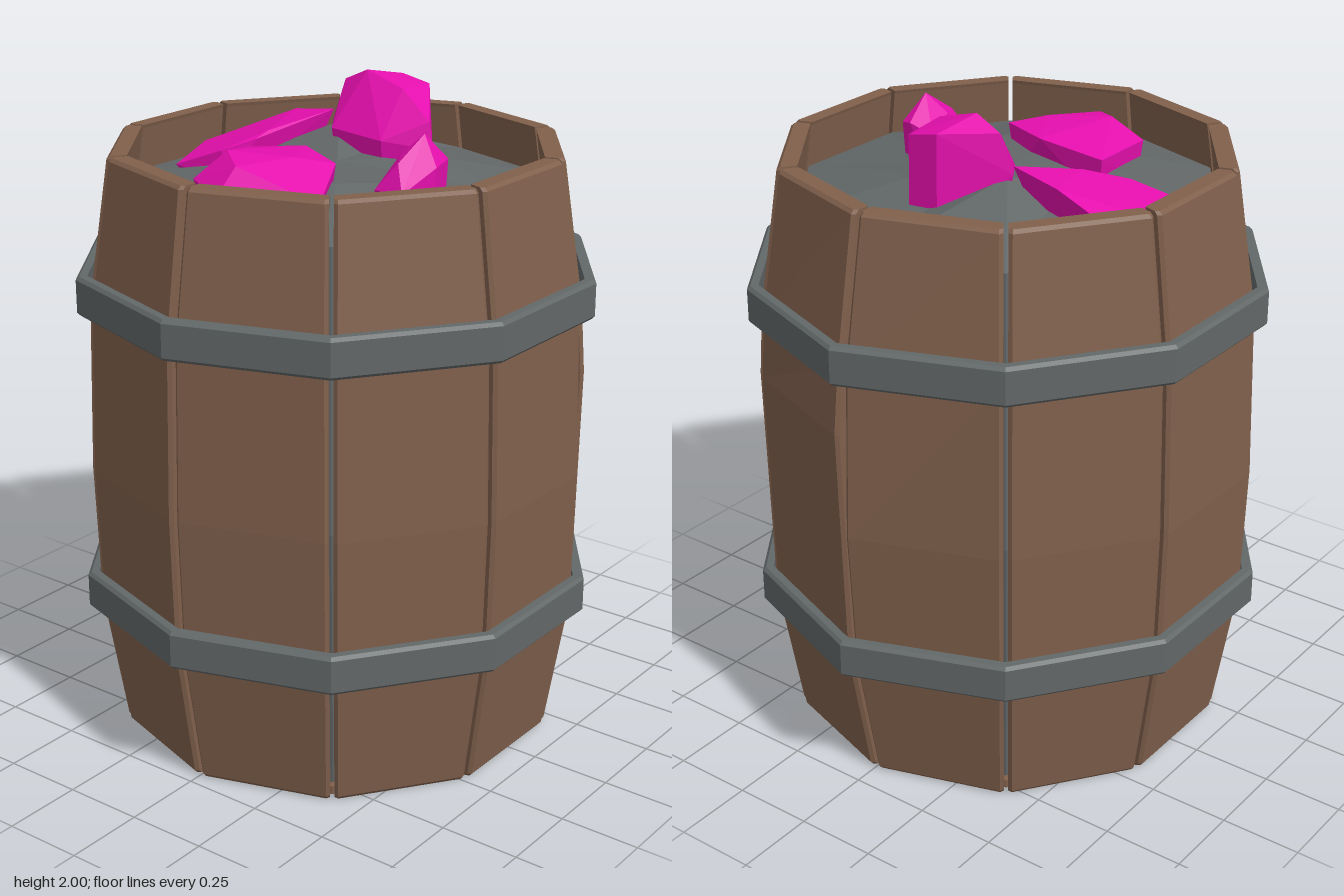
import * as THREE from 'three';
import { ConvexGeometry } from 'three/addons/geometries/ConvexGeometry.js';

const SIDES = 10;
const wood = new THREE.MeshStandardMaterial({ color: 0x80604c });
wood.name = 'brown wood';
const grey = new THREE.MeshStandardMaterial({ color: 0x626767 });
grey.name = 'dark grey';
const pink = new THREE.MeshStandardMaterial({ color: 0xe60fae });
pink.name = 'magenta crystal';

// Corner i of the ten-sided barrel outline; the rear corner may bulge further out
function corner(i, r, y, rear = 0) {
  const a = (i * Math.PI * 2) / SIDES;
  const R = r + (i % SIDES === 5 ? rear : 0);
  return new THREE.Vector3(R * Math.sin(a), y, R * Math.cos(a) + 0.02);
}

// Join equal-length loops of points into a flat-shaded surface
function loft(sections, { ring = false, caps = true } = {}) {
  const pos = [];
  const tri = (...pts) => pts.forEach((p) => pos.push(p.x, p.y, p.z));
  const n = sections[0].length;
  const spans = ring ? sections.length : sections.length - 1;
  for (let s = 0; s < spans; s++) {
    const a = sections[s], b = sections[(s + 1) % sections.length];
    for (let j = 0; j < n; j++) {
      const k = (j + 1) % n;
      tri(a[j], a[k], b[k]);
      tri(a[j], b[k], b[j]);
    }
  }
  if (caps && !ring) {
    const lo = sections[0], hi = sections[sections.length - 1];
    for (let j = 1; j < n - 1; j++) {
      tri(lo[0], lo[j + 1], lo[j]);
      tri(hi[0], hi[j], hi[j + 1]);
    }
  }
  const g = new THREE.BufferGeometry();
  g.setAttribute('position', new THREE.Float32BufferAttribute(pos, 3));
  g.computeVertexNormals();
  return g;
}

function mesh(name, geometry, material) {
  const m = new THREE.Mesh(geometry, material);
  m.name = name;
  return m;
}

// Plank outline at one height: thick strip with chamfered outer edges
function staveSection(k, r, y, rear, inset = 0) {
  const gap = 0.007, chamfer = 0.012, thick = 0.06;
  const ends = (radius, trim) => {
    const a = corner(k, radius, y, rear), b = corner(k + 1, radius, y, rear);
    const t = b.clone().sub(a).normalize().multiplyScalar(trim);
    return [a.add(t), b.sub(t)];
  };
  const [oa, ob] = ends(r - inset, gap + chamfer);
  const [sa, sb] = ends(r - inset - chamfer, gap);
  const [ia, ib] = ends(r - thick, gap);
  return [oa, ob, sb, ib, ia, sa];
}

function stave(k) {
  const high = k === 3 || k === 4; // two rear planks swell higher up
  const levels = [
    [0, 0.692, 0, 0.008],
    [0.012, 0.695, 0],
    [0.43, 0.762, 0.015],
    [high ? 1.19 : 0.87, 0.775, 0.025],
    [1.4, 0.76, 0.015],
    [1.82, 0.695, 0],
    [1.83, 0.692, 0, 0.008],
  ];
  return loft(levels.map(([y, r, rear, inset]) => staveSection(k, r, y, rear, inset)));
}

// Metal hoop with bevelled rims
function hoop(y0, y1, r) {
  const b = 0.01, inner = r - 0.035;
  const profile = [
    [r - b, y1], [r, y1 - b], [r, y0 + b], [r - b, y0], [inner, y0], [inner, y1],
  ];
  const sections = [];
  for (let i = 0; i < SIDES; i++) {
    sections.push(profile.map(([pr, y]) => corner(i, pr, y, 0.025)));
  }
  return loft(sections, { ring: true });
}

// Full outline ring; y may be a list of heights
function outline(r, y) {
  return Array.from({ length: SIDES }, (_, i) => corner(i, r, Array.isArray(y) ? y[i] : y));
}

// Upper points of each crystal, with its footprint sunk into the fill
const crystals = {
  rearCrystal: [
    [-0.18, 1.84, -0.2], [-0.15, 1.96, -0.22], [-0.06, 2.0, -0.21], [0.08, 1.96, -0.2],
    [0.2, 1.88, -0.17], [0.22, 1.8, -0.16], [0.08, 1.82, -0.09], [-0.12, 1.83, -0.11],
    [-0.03, 1.97, -0.355], [0.07, 1.95, -0.355],
    [-0.03, 1.68, -0.36], [0.07, 1.68, -0.36], [-0.15, 1.68, -0.2], [0.18, 1.68, -0.16],
    [0.08, 1.68, -0.1], [-0.1, 1.68, -0.12],
  ],
  frontCrystal: [
    [-0.25, 1.8, 0.14], [-0.04, 1.83, 0.12], [0.14, 1.82, 0.21], [0.05, 1.84, 0.29],
    [-0.13, 1.85, 0.37], [-0.04, 1.83, 0.44], [0.22, 1.75, 0.39], [-0.05, 1.75, 0.52],
    [-0.2, 1.77, 0.44],
    [-0.23, 1.66, 0.16], [0.12, 1.66, 0.22], [0.18, 1.66, 0.38], [-0.05, 1.66, 0.49],
    [-0.2, 1.66, 0.41],
  ],
  rightCrystal: [
    [-0.57, 1.74, -0.04], [-0.46, 1.79, -0.22], [-0.35, 1.84, -0.225], [-0.18, 1.865, -0.2],
    [-0.28, 1.82, 0.0], [-0.29, 1.8, 0.05], [-0.36, 1.77, 0.13], [-0.49, 1.72, 0.19],
    [-0.52, 1.66, -0.03], [-0.44, 1.66, -0.18], [-0.25, 1.68, -0.16], [-0.34, 1.66, 0.1],
    [-0.47, 1.66, 0.15],
  ],
  leftCrystal: [
    [0.27, 1.81, 0.0], [0.34, 1.84, -0.02], [0.385, 1.83, 0.0], [0.35, 1.91, 0.07],
    [0.29, 1.85, 0.1], [0.33, 1.84, 0.17], [0.4, 1.82, 0.08], [0.365, 1.76, 0.2],
    [0.27, 1.76, 0.2],
    [0.28, 1.66, 0.01], [0.38, 1.66, 0.01], [0.39, 1.66, 0.09], [0.35, 1.66, 0.18],
    [0.28, 1.66, 0.18],
  ],
};

export function createModel() {
  const model = new THREE.Group();
  model.name = 'crystalBarrel';

  // Planks around the barrel
  const staves = new THREE.Group();
  staves.name = 'staves';
  for (let k = 0; k < SIDES; k++) staves.add(mesh('stave', stave(k), wood));
  model.add(staves);

  // Bottom board
  model.add(mesh('bottomBoard', loft([outline(0.66, 0.004), outline(0.66, 0.03)]), wood));

  // Rock fill with an uneven top
  const bumps = [1.76, 1.77, 1.76, 1.75, 1.77, 1.77, 1.83, 1.78, 1.74, 1.75];
  model.add(mesh('rockFill', loft([
    outline(0.635, 0.03),
    outline(0.712, 0.87),
    outline(0.645, 1.69),
    outline(0.27, bumps),
    outline(0, 1.77),
  ], { caps: false }), grey));

  // Metal hoops
  model.add(mesh('upperHoop', hoop(1.36, 1.48, 0.798), grey));
  model.add(mesh('lowerHoop', hoop(0.41, 0.53, 0.802), grey));

  // Crystals poking out of the fill
  for (const [name, pts] of Object.entries(crystals)) {
    const hull = new ConvexGeometry(pts.map((p) => new THREE.Vector3(...p)));
    model.add(mesh(name, hull, pink));
  }
  return model;
}
